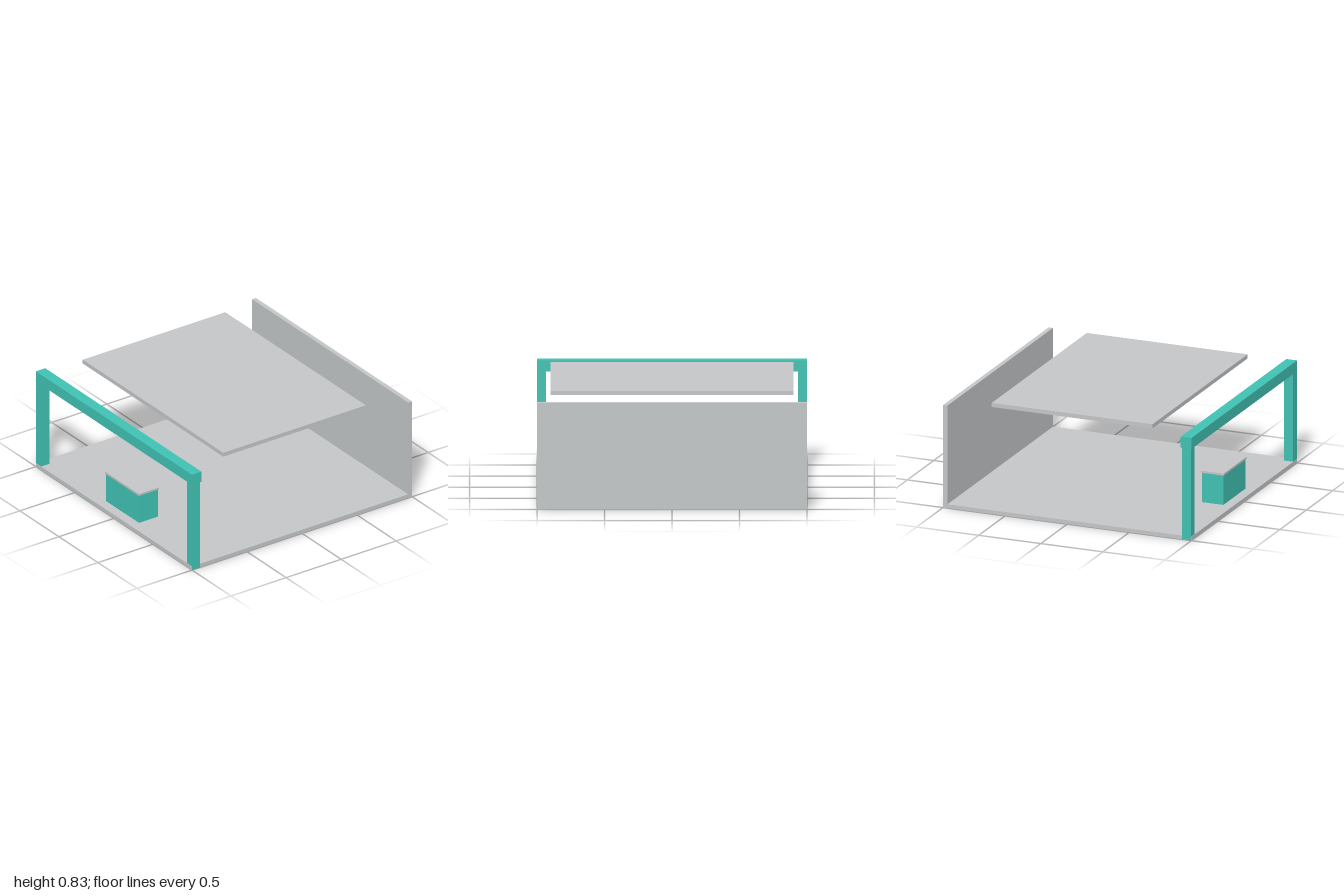
import * as THREE from 'three';

export function createModel() {
  const group = new THREE.Group();
  const grey = new THREE.MeshStandardMaterial({ color: 0xc3c6c8 });
  grey.name = 'pale grey';
  const teal = new THREE.MeshStandardMaterial({ color: 0x40c1b2 });
  teal.name = 'teal';

  // Box given by its extents along each axis
  function box(name, material, [x0, x1], [y0, y1], [z0, z1]) {
    const mesh = new THREE.Mesh(new THREE.BoxGeometry(x1 - x0, y1 - y0, z1 - z0), material);
    mesh.position.set((x0 + x1) / 2, (y0 + y1) / 2, (z0 + z1) / 2);
    mesh.name = name;
    group.add(mesh);
  }

  // Shell: floor, back wall and floating ceiling panel
  box('floor', grey, [-0.999, 0.999], [0, 0.03], [-1, 1]);
  box('backWall', grey, [-1, 1], [0.03, 0.8], [-1, -0.965]);
  box('ceilingPanel', grey, [-0.9, 0.9], [0.8, 0.832], [-0.65, 0.645]);

  // Entrance frame: two posts running down past the floor edge, and a beam
  box('leftPost', teal, [0.932, 1], [0.001, 0.715], [0.926, 0.998]);
  box('rightPost', teal, [-1, -0.932], [0.001, 0.715], [0.926, 0.998]);
  box('beam', teal, [-1, 1], [0.715, 0.8], [0.914, 1]);

  // Counter with an overhanging top
  box('counterBody', teal, [-0.212, 0.212], [0.03, 0.26], [0.752, 0.922]);
  box('counterTop', grey, [-0.217, 0.217], [0.26, 0.276], [0.746, 0.928]);

  return group;
}
